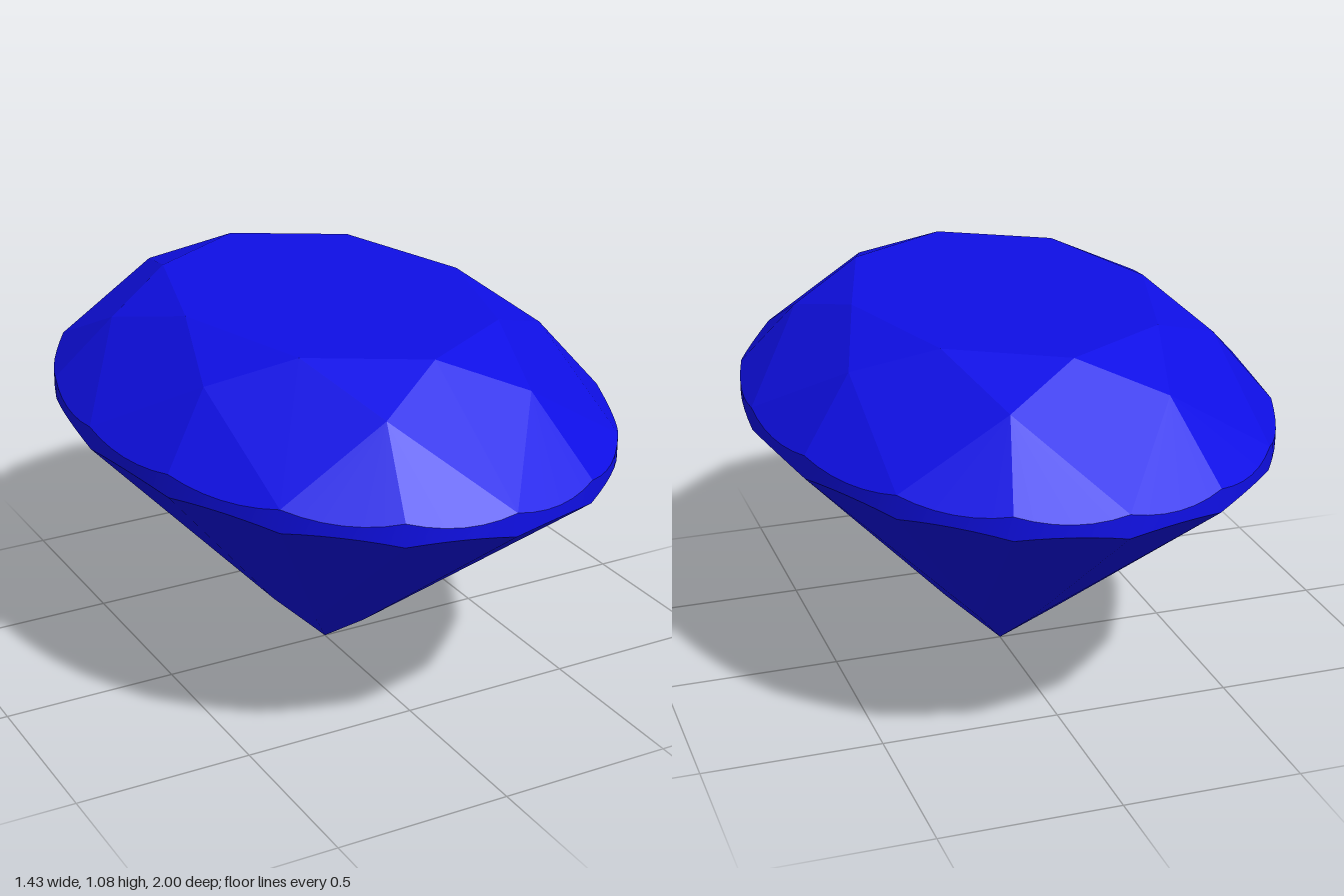
import * as THREE from 'three';
import { mergeVertices } from 'three/addons/utils/BufferGeometryUtils.js';

const STEP = Math.PI / 8;       // sixteen girdle facets
const ARC = 6;                  // segments along each girdle scallop
const WIDTH = 0.715;            // oval: x radius against z radius 1
const TABLE = { r: 0.595, y: 1.08 };
const UPPER = 0.815, LOWER = 0.75;   // girdle corner heights
const CENTRE = new THREE.Vector3(0, 0.7, 0);

// Facet corners lie on the planes of the main (kite) facets
const onPlane = (r, r0, y0, r1, y1) => y0 + (y1 - y0) * (r * Math.cos(STEP) - r0) / (r1 - r0);
const STAR = { r: 0.78, y: onPlane(0.78, TABLE.r, TABLE.y, 1, UPPER) };
const KEEL = { r: 0.235, y: onPlane(0.235, 0, 0, 1, LOWER) };

// Point on the oval at angle index k (k = 0 faces +z)
const point = (k, r, y) =>
  new THREE.Vector3(Math.sin(k * STEP) * r * WIDTH, y, Math.cos(k * STEP) * r);
const at = (k, ring) => point(k, ring.r, ring.y);

// Curve where the half facet k..k+1, passing through an inner corner, cuts the oval wall
function scallop(k, inner, y) {
  const chord = Math.cos(STEP / 2), innerDist = inner.r * chord;
  return Array.from({ length: ARC + 1 }, (_, i) => {
    const t = i / ARC;
    const d = Math.cos((t - 0.5) * STEP);
    return point(k + t, 1, y + (inner.y - y) * (d - chord) / (innerDist - chord));
  });
}

// Fan each convex face into triangles that point away from the middle of the stone
function facetMesh(name, faces, material, smooth = false) {
  const pos = [];
  const n = new THREE.Vector3(), e = new THREE.Vector3();
  for (const f of faces) {
    for (let i = 1; i < f.length - 1; i++) {
      let [a, b, c] = [f[0], f[i], f[i + 1]];
      n.subVectors(b, a).cross(e.subVectors(c, a));
      if (n.dot(e.subVectors(a, CENTRE)) < 0) [b, c] = [c, b];
      for (const p of [a, b, c]) pos.push(p.x, p.y, p.z);
    }
  }
  let geo = new THREE.BufferGeometry();
  geo.setAttribute('position', new THREE.Float32BufferAttribute(pos, 3));
  if (smooth) geo = mergeVertices(geo, 1e-5);
  geo.computeVertexNormals();
  const mesh = new THREE.Mesh(geo, material);
  mesh.name = name;
  return mesh;
}

export function createModel() {
  const group = new THREE.Group();
  group.name = 'ovalGem';
  const flat = new THREE.MeshStandardMaterial({ color: 0x0f0fe6, flatShading: true });
  const round = new THREE.MeshStandardMaterial({ color: 0x0f0fe6 });

  const table = [], stars = [], bezels = [], upperHalves = [];
  const girdle = [], lowerHalves = [], mains = [];
  const culet = new THREE.Vector3(0, 0, 0);

  // Flat top
  table.push(Array.from({ length: 8 }, (_, j) => at(2 * j, TABLE)));

  // Eight-fold facets of crown and pavilion
  for (let k = 0; k < 16; k += 2) {
    stars.push([at(k, TABLE), at(k + 1, STAR), at(k + 2, TABLE)]);
    bezels.push([at(k, TABLE), at(k - 1, STAR), point(k, 1, UPPER), at(k + 1, STAR)]);
    mains.push([culet, at(k, KEEL), point(k + 1, 1, LOWER), at(k + 2, KEEL)]);
  }

  // Sixteen-fold half facets and the scalloped girdle between them
  for (let k = 0; k < 16; k++) {
    const odd = k % 2 ? k : k + 1, even = k % 2 ? k + 1 : k;
    const top = scallop(k, STAR, UPPER), bottom = scallop(k, KEEL, LOWER);
    upperHalves.push([at(odd, STAR), ...top]);
    lowerHalves.push([at(even, KEEL), ...bottom]);
    for (let i = 0; i < ARC; i++) girdle.push([bottom[i], bottom[i + 1], top[i + 1], top[i]]);
  }

  group.add(
    facetMesh('table', table, flat),
    facetMesh('starFacets', stars, flat),
    facetMesh('bezelFacets', bezels, flat),
    facetMesh('upperHalfFacets', upperHalves, flat),
    facetMesh('girdle', girdle, round, true),
    facetMesh('lowerHalfFacets', lowerHalves, flat),
    facetMesh('pavilionMains', mains, flat),
  );
  return group;
}
